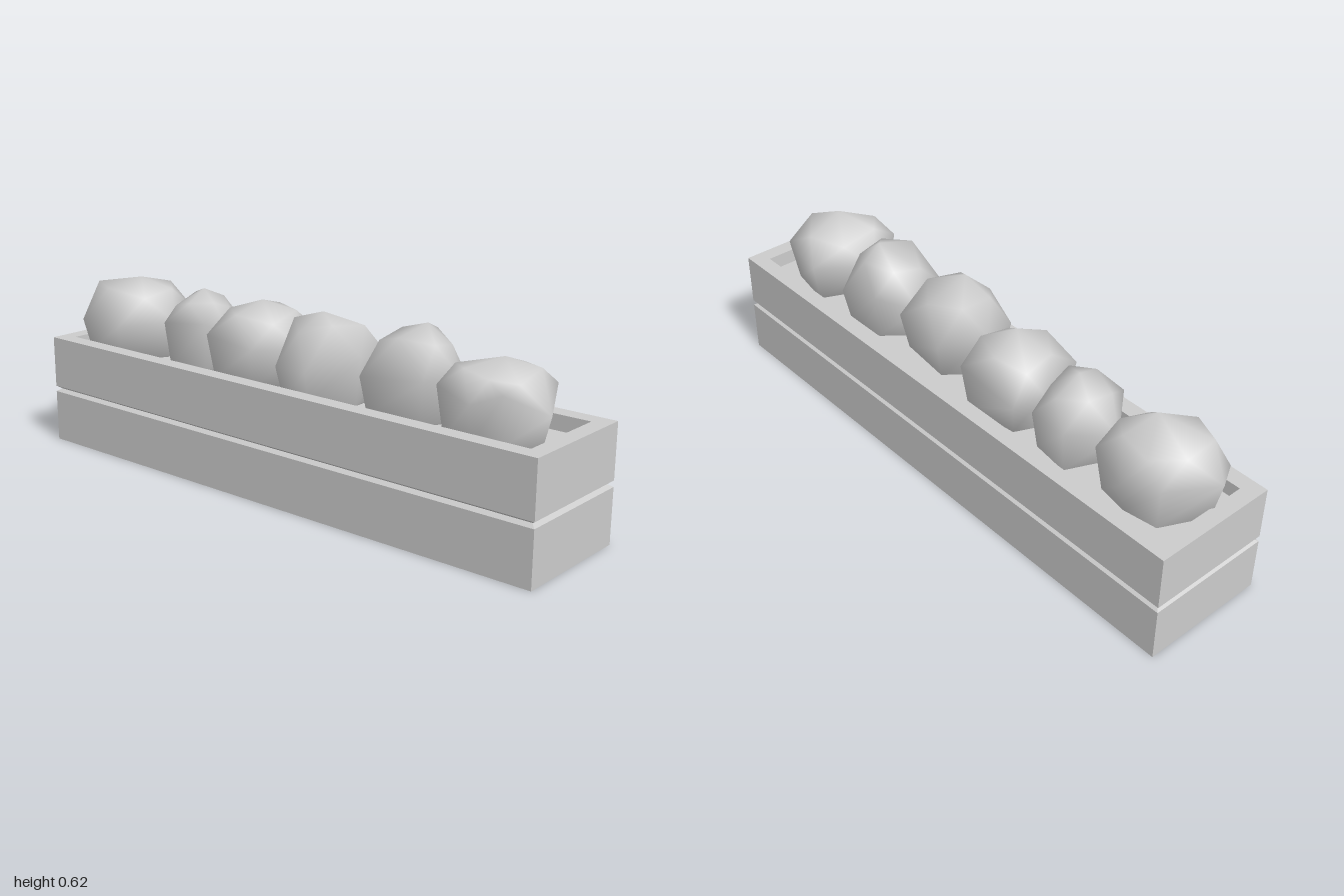
import * as THREE from 'three';

const grey = new THREE.MeshStandardMaterial({ color: 0xcccccc });

// Skin rings of equal point count, listed bottom to top; each ring runs left, back, right, front.
function loft(rings) {
  const n = rings[0].length;
  const index = [];
  for (let r = 0; r < rings.length - 1; r++) {
    for (let j = 0; j < n; j++) {
      const a = r * n + j, b = r * n + (j + 1) % n;
      index.push(a, a + n, b, b, a + n, b + n);
    }
  }
  // Close both ends with a fan
  const last = (rings.length - 1) * n;
  for (let j = 1; j < n - 1; j++) {
    index.push(0, j, j + 1, last, last + j + 1, last + j);
  }
  const geometry = new THREE.BufferGeometry();
  geometry.setAttribute('position', new THREE.Float32BufferAttribute(rings.flat(2), 3));
  geometry.setIndex(index);
  geometry.computeVertexNormals();
  return geometry;
}

function addMesh(group, name, geometry) {
  const mesh = new THREE.Mesh(geometry, grey);
  mesh.name = name;
  group.add(mesh);
}

// Rectangular trough with a V groove halfway up and a recessed bed
function planterGeometry() {
  const profile = [ // half width, half length, height
    [0.215, 1, 0], [0.215, 1, 0.18], [0.2, 0.985, 0.19], [0.215, 1, 0.2],
    [0.215, 1, 0.38], [0.16, 0.945, 0.38], [0.16, 0.945, 0.33],
  ];
  const rings = profile.map(([w, l, y]) => [[-w, y, l], [-w, y, -l], [w, y, -l], [w, y, l]]);
  const geometry = loft(rings).toNonIndexed();
  geometry.computeVertexNormals();
  return geometry;
}

// Faceted shrub: a wide outline narrowing into the bed and doming up to a peak
function bushGeometry({ peak, outline }, seed) {
  const n = outline.length;
  const [px, py, pz] = peak;
  const cx = outline.reduce((s, p) => s + p[0], 0) / n;
  const cz = outline.reduce((s, p) => s + p[1], 0) / n;
  const scaled = (k, y) => outline.map(([x, z]) => [cx + (x - cx) * k, y, cz + (z - cz) * k]);
  const middle = outline.map(([x, z], j) => [x, 0.47 + 0.03 * Math.sin(j * 2.4 + seed * 1.7), z]);
  const shoulder = outline.map(([x, z], j) => {
    const [x2, z2] = outline[(j + 1) % n];
    return [
      cx + ((x + x2) / 2 - cx) * 0.76,
      py - 0.045 + 0.018 * Math.sin(j * 2 + seed * 2.3),
      cz + ((z + z2) / 2 - cz) * 0.76,
    ];
  });
  const tip = outline.map(() => [px, py, pz]);
  const geometry = loft([scaled(0.5, 0.3), scaled(0.86, 0.34), middle, shoulder, tip]);
  // Share one straight-up normal at the peak
  const normal = geometry.attributes.normal;
  for (let j = 0; j < n; j++) normal.setXYZ(4 * n + j, 0, 1, 0);
  return geometry;
}

// Peak [x, y, z] and plan outline [x, z] of each shrub, front to back
const bushes = [
  { peak: [-0.03, 0.58, 0.77],
    outline: [[-0.16, 0.63], [-0.03, 0.575], [0.165, 0.66], [0.13, 0.85], [-0.05, 0.94], [-0.13, 0.83], [-0.16, 0.74]] },
  { peak: [0.03, 0.617, 0.46],
    outline: [[-0.13, 0.33], [0.03, 0.26], [0.14, 0.35], [0.14, 0.53], [0.01, 0.59], [-0.115, 0.55]] },
  { peak: [-0.06, 0.617, 0.13],
    outline: [[-0.16, 0.02], [0, -0.05], [0.125, 0.05], [0.1, 0.27], [-0.06, 0.28], [-0.16, 0.14]] },
  { peak: [0, 0.6, -0.18],
    outline: [[-0.13, -0.31], [0.05, -0.36], [0.14, -0.32], [0.165, -0.11], [0.02, -0.02], [-0.145, -0.1]] },
  { peak: [0.01, 0.597, -0.46],
    outline: [[-0.13, -0.51], [-0.01, -0.61], [0.15, -0.54], [0.13, -0.39], [0.01, -0.34], [-0.08, -0.37]] },
  { peak: [-0.02, 0.605, -0.74],
    outline: [[-0.15, -0.91], [-0.05, -0.97], [0.12, -0.89], [0.14, -0.76], [0.12, -0.64], [-0.01, -0.585], [-0.17, -0.7]] },
];

export function createModel() {
  const group = new THREE.Group();
  group.name = 'planterBox';
  addMesh(group, 'planter', planterGeometry());
  bushes.forEach((bush, i) => addMesh(group, `bush${i + 1}`, bushGeometry(bush, i + 1)));
  return group;
}
